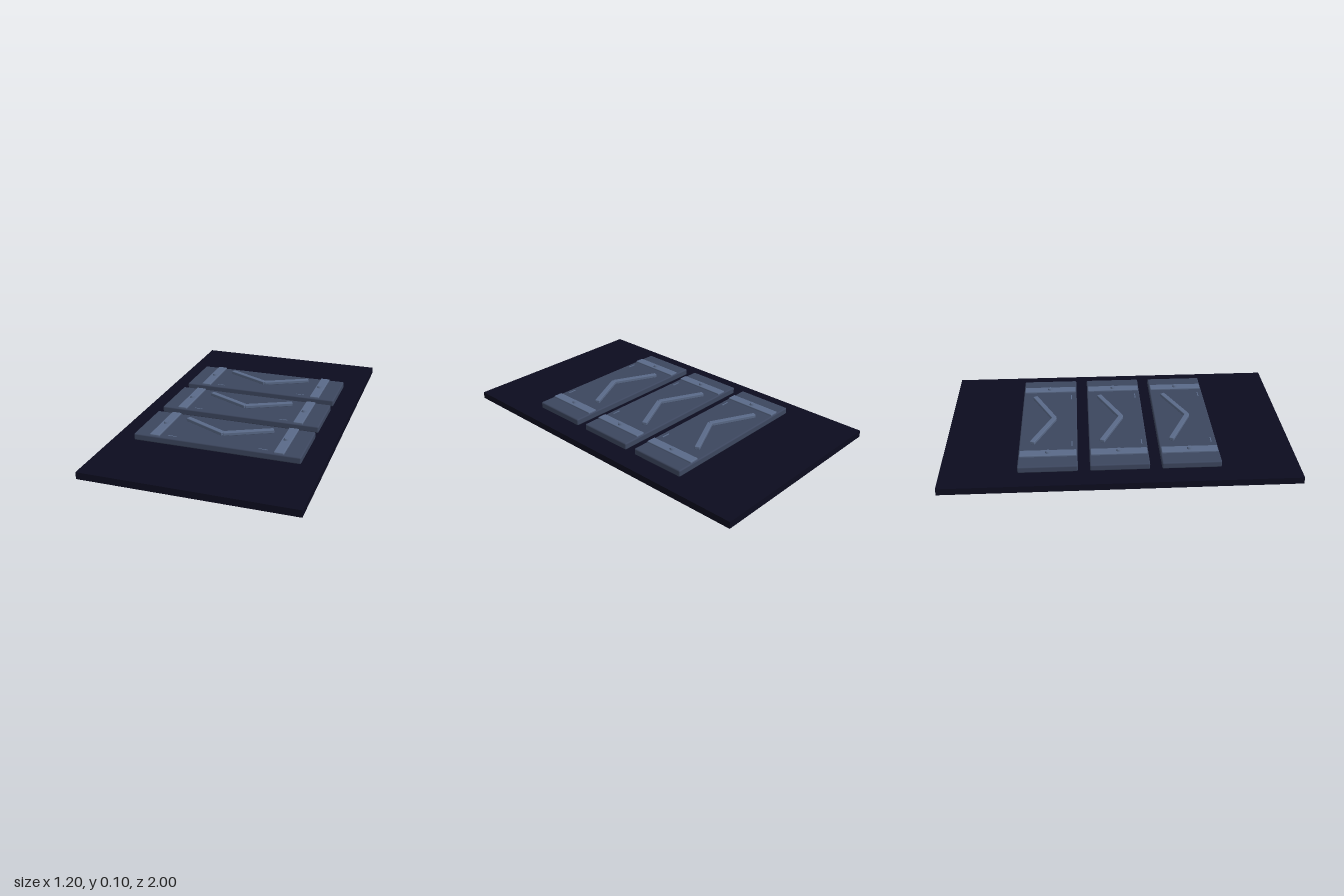
import * as THREE from 'three';
import { RoundedBoxGeometry } from 'three/addons/geometries/RoundedBoxGeometry.js';

const material = (name, color) => {
  const m = new THREE.MeshStandardMaterial({ color });
  m.name = name;
  return m;
};

export function createModel() {
  const model = new THREE.Group();
  model.name = 'armourPanel';
  const darkNavy = material('dark navy', 0x0c0c1f);
  const slate = material('slate blue', 0x3c465e);
  const steel = material('light steel blue', 0x5a6a88);

  const add = (parent, name, geometry, mat, x, y, z) => {
    const mesh = new THREE.Mesh(geometry, mat);
    mesh.name = name;
    mesh.position.set(x, y, z);
    parent.add(mesh);
    return mesh;
  };

  // Backing board
  add(model, 'backingBoard', new THREE.BoxGeometry(1.2, 0.04, 2), darkNavy, 0, 0.02, 0);

  // Shared shapes for the three armour plates
  const plateGeo = new RoundedBoxGeometry(0.96, 0.04, 0.333, 2, 0.008);
  const strapGeo = new RoundedBoxGeometry(0.057, 0.016, 0.32, 2, 0.004);
  const boltGeo = new THREE.CylinderGeometry(0.012, 0.016, 0.012, 12);
  const barGeo = new RoundedBoxGeometry(0.288, 0.02, 0.03, 2, 0.004);
  const slotGeo = new THREE.BoxGeometry(0.05, 0.004, 0.006);

  for (const z of [-0.403, -0.003, 0.397]) {
    const panel = new THREE.Group();
    panel.name = 'armourPlate';
    panel.position.set(0, 0.06, z);
    model.add(panel);
    add(panel, 'plate', plateGeo, slate, 0, 0, 0);

    // Mirrored straps, bolts, chevron arms and slots
    for (const side of [-1, 1]) {
      add(panel, 'strap', strapGeo, steel, side * 0.357, 0.021, 0);
      add(panel, 'bolt', boltGeo, steel, side * 0.355, 0.034, 0);
      const bar = add(panel, 'chevronArm', barGeo, steel, side * 0.128, 0.029, -0.03);
      bar.rotation.y = side * 0.45;
      add(panel, 'slotMark', slotGeo, steel, side * 0.262, 0.021, 0.135);
    }
  }
  return model;
}
